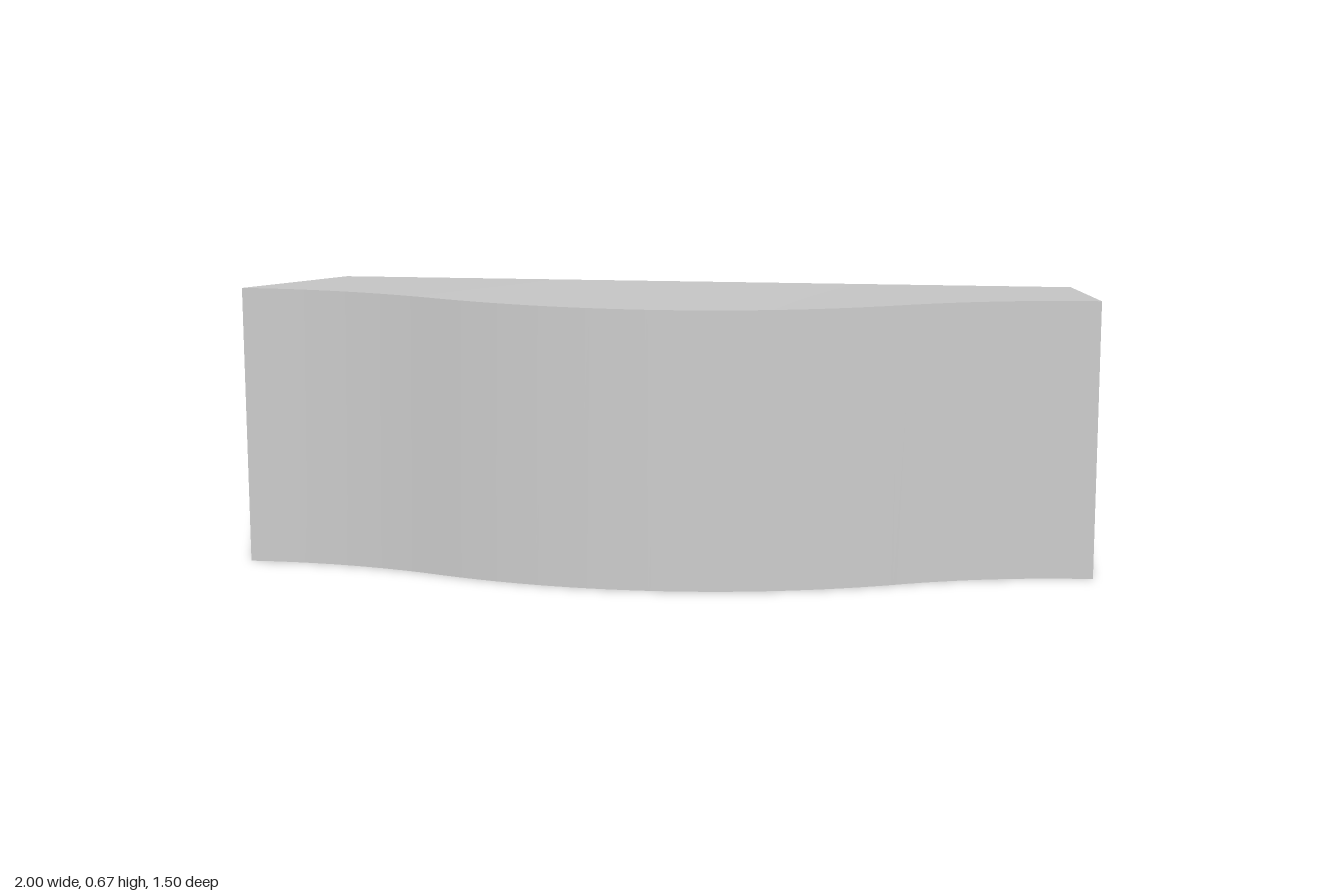
import * as THREE from 'three';

const BACK = -0.748, FRONT = 0.748, CORNER = 0.581;
const R1 = 1.667, R2 = 1.417, BEND = 0.54;

// Bowed front edge: a convex middle arc flowing into a concave arc at each end
function frontEdge(x) {
  const a = Math.abs(x);
  if (a < BEND) return FRONT - R1 + Math.sqrt(R1 * R1 - a * a);
  return CORNER + R2 - Math.sqrt(R2 * R2 - (1 - a) ** 2);
}

export function createModel() {
  const group = new THREE.Group();
  group.name = 'slopedBlock';

  // Block whose top slopes from a low straight back to the tall bowed front
  const geometry = new THREE.BoxGeometry(2, 1, 1, 60, 1, 4);
  const pos = geometry.attributes.position;
  for (let i = 0; i < pos.count; i++) {
    const x = pos.getX(i);
    const t = pos.getZ(i) + 0.5; // 0 at the back, 1 at the front
    const top = THREE.MathUtils.lerp(0.417, 0.667, t);
    const z = THREE.MathUtils.lerp(BACK, frontEdge(x), t);
    pos.setXYZ(i, x, pos.getY(i) > 0 ? top : 0, z);
  }
  // Sides do not share vertices, so edges stay sharp and the front stays smooth
  geometry.computeVertexNormals();

  const body = new THREE.Mesh(geometry, new THREE.MeshStandardMaterial({ color: 0xcccccc }));
  body.name = 'body';
  group.add(body);
  return group;
}
